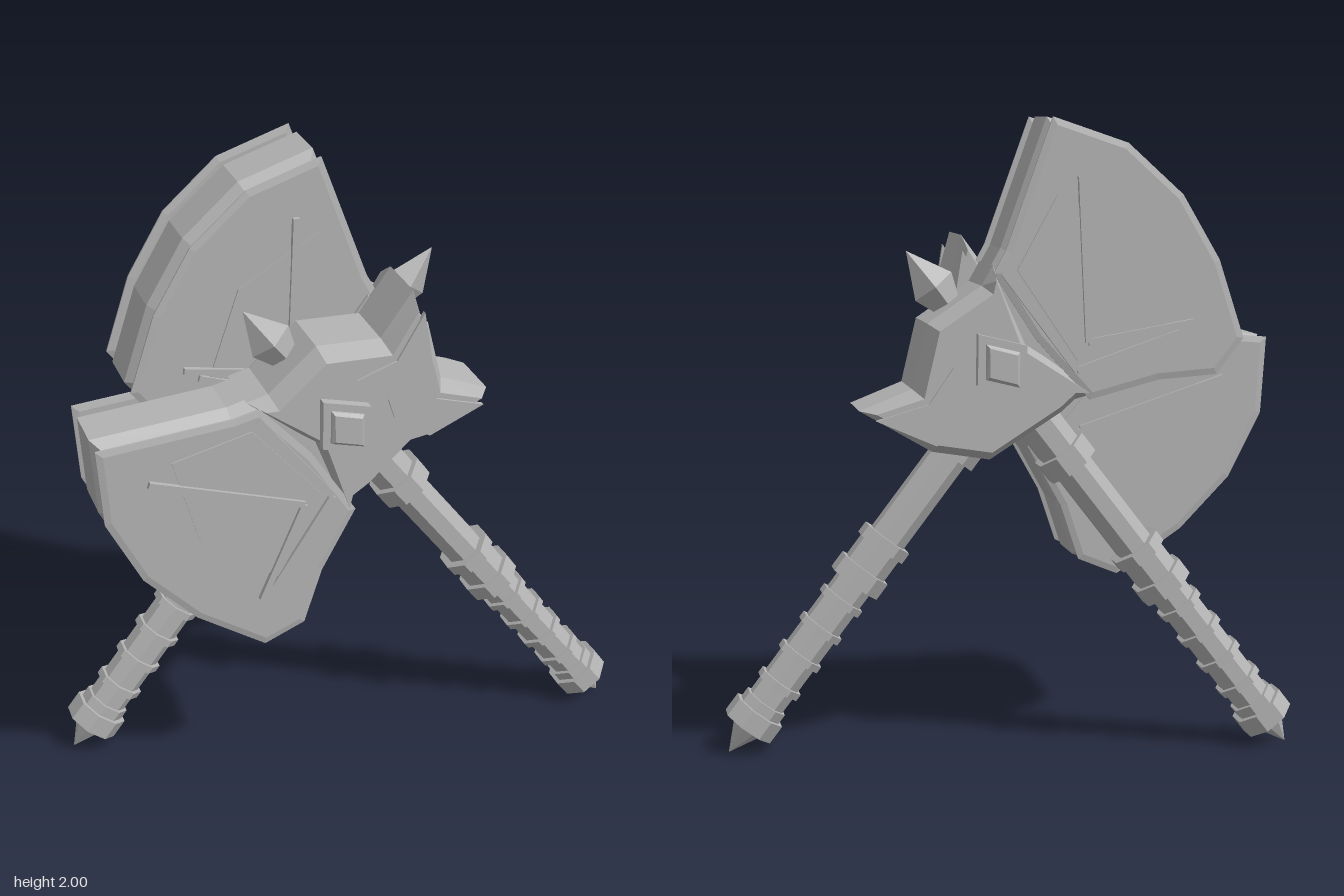
import * as THREE from 'three';

const steel = new THREE.MeshStandardMaterial({ color: 0xb4b4b4, flatShading: true });
steel.name = 'grey steel';

// Outlines in the axe's own frame: shaft along +y, blade towards -x.
const bladeEdge = [[-0.222, 1.867], [-0.571, 2.089], [-0.707, 1.887], [-0.75, 1.66], [-0.723, 1.433],
  [-0.64, 1.194], [-0.507, 1.159], [-0.354, 1.262]];
const bladeOutline = [...bladeEdge, [-0.122, 1.364], [-0.06, 1.37], [-0.06, 1.82], [-0.106, 1.818]];
const plateOutline = [...bladeEdge, [-0.15, 1.35], [-0.13, 1.6], [-0.15, 1.835]];
const headOutline = [[-0.17, 1.845], [-0.106, 1.818], [0.092, 1.832], [0.248, 1.706], [0.412, 1.754],
  [0.318, 1.518], [0.196, 1.386], [-0.066, 1.36], [-0.122, 1.364], [-0.19, 1.335], [-0.11, 1.6]];
const panelOutline = [[-0.44, 1.9], [-0.21, 1.8], [-0.19, 1.47], [-0.46, 1.357], [-0.55, 1.63]];
const hornOutline = [[0.117, 1.692], [0.24, 1.652], [0.394, 1.713], [0.3, 1.539], [0.122, 1.508], [0.145, 1.572]];
const diamond = (w, h) => [[0, 1.608 + h], [-w, 1.608], [0, 1.608 - h], [w, 1.608]];

// Chamfered slab of total thickness 2 * half, centred on depth z.
function slab(parent, name, outline, half, z, chamfer, inset) {
  const shape = new THREE.Shape(outline.map(([x, y]) => new THREE.Vector2(x, y)));
  const core = 2 * (half - chamfer);
  const geo = new THREE.ExtrudeGeometry(shape, {
    depth: core, bevelEnabled: chamfer > 0, bevelThickness: chamfer,
    bevelSize: inset, bevelOffset: -inset, bevelSegments: 1,
  });
  geo.translate(0, 0, z - core / 2);
  const mesh = new THREE.Mesh(geo, steel);
  mesh.name = name;
  parent.add(mesh);
}

// Eight-sided section of the shaft from y0 to y1.
function section(parent, name, y0, y1, r0, r1 = r0, sides = 8) {
  const geo = new THREE.CylinderGeometry(r1, r0, y1 - y0, sides);
  if (sides === 8) geo.rotateY(Math.PI / 8);
  const mesh = new THREE.Mesh(geo, steel);
  mesh.position.y = (y0 + y1) / 2;
  mesh.name = name;
  parent.add(mesh);
  return mesh;
}

// Thin raised bar between two points on the blade plate.
function bar(parent, [x0, y0], [x1, y1], z) {
  const mesh = new THREE.Mesh(new THREE.BoxGeometry(Math.hypot(x1 - x0, y1 - y0), 0.02, 0.018), steel);
  mesh.position.set((x0 + x1) / 2, (y0 + y1) / 2, z);
  mesh.rotation.z = Math.atan2(y1 - y0, x1 - x0);
  mesh.name = 'bladeBar';
  parent.add(mesh);
}

function createAxe(name) {
  const axe = new THREE.Group();
  axe.name = name;

  // Shaft, pommel, grip rings and collars
  section(axe, 'shaft', 0.1, 1.5, 0.064);
  section(axe, 'pommelPoint', 0, 0.115, 0.001, 0.062);
  section(axe, 'pommelRing', 0.1, 0.165, 0.09);
  section(axe, 'pommelCollar', 0.165, 0.2, 0.075);
  for (const y of [0.27, 0.38, 0.49, 0.6]) section(axe, 'gripRing', y - 0.012, y + 0.012, 0.077);
  section(axe, 'gripCollar', 0.67, 0.73, 0.091);
  section(axe, 'gripSleeve', 0.73, 0.81, 0.075);
  section(axe, 'gripCap', 0.81, 0.85, 0.088);
  section(axe, 'neckCollar', 1.18, 1.25, 0.09);
  section(axe, 'neckSleeve', 1.25, 1.38, 0.072);

  // Blade core and thick head with its rear horn
  slab(axe, 'bladeCore', bladeOutline, 0.115, 0, 0.04, 0.035);
  slab(axe, 'head', headOutline, 0.16, 0, 0.065, 0.03);

  // Plates and ornaments on both sides
  for (const s of [1, -1]) {
    slab(axe, 'bladePlate', plateOutline, 0.008, s * 0.154, 0.005, 0.02);
    slab(axe, 'bladePanel', panelOutline, 0.004, s * 0.163, 0, 0);
    bar(axe, [-0.531, 1.9], [-0.249, 1.494], s * 0.169);
    bar(axe, [-0.249, 1.494], [-0.545, 1.335], s * 0.169);
    bar(axe, [-0.174, 1.817], [-0.171, 1.448], s * 0.165);
    bar(axe, [-0.171, 1.448], [-0.489, 1.338], s * 0.165);
    slab(axe, 'hornPlate', hornOutline, 0.008, s * 0.16, 0, 0);
    slab(axe, 'diamondFrame', diamond(0.095, 0.12), 0.015, s * 0.175, 0, 0);
    slab(axe, 'diamondStud', diamond(0.065, 0.083), 0.02, s * 0.187, 0.01, 0.01);
  }

  // Four-sided spike on top
  section(axe, 'spikeBase', 1.76, 1.89, 0.02, 0.07, 4).scale.z = 0.55;
  section(axe, 'spikeTip', 1.89, 2.025, 0.07, 0.001, 4).scale.z = 0.55;
  return axe;
}

export function createModel() {
  const model = new THREE.Group();
  model.name = 'crossedAxes';
  for (const s of [1, -1]) {
    const axe = createAxe(s > 0 ? 'frontAxe' : 'rearAxe');
    axe.position.set(s * 0.887, 0.01, s * 0.1375);
    axe.rotation.z = s * 0.656;
    model.add(axe);
  }
  return model;
}
